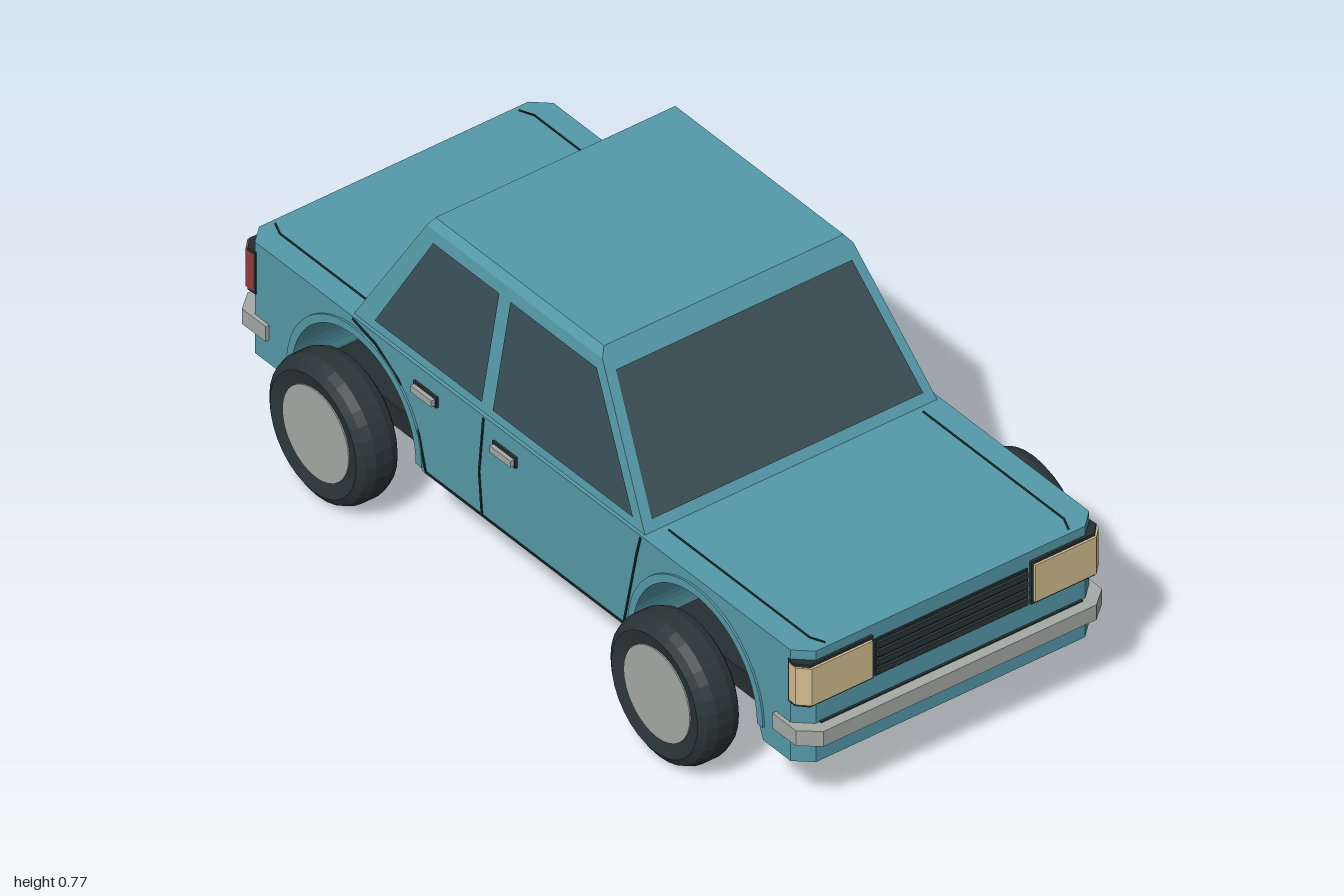
import * as THREE from 'three';

const mat = (color, side = THREE.FrontSide) =>
  new THREE.MeshStandardMaterial({ color, flatShading: true, side });
const PAINT = mat(0x5599a8), GLASS = mat(0x3a4f56, THREE.DoubleSide), DARK = mat(0x252f31),
  LINE = mat(0x1a2a2e), CHROME = mat(0xa6aaa6), LAMP = mat(0xd4be90), RED = mat(0x983a3c);
const RUBBER = mat(0x2a3537);

function add(parent, name, geometry, material) {
  const mesh = new THREE.Mesh(geometry, material);
  mesh.name = name;
  parent.add(mesh);
  return mesh;
}

// box given by its limits
function box(x0, x1, y0, y1, z0, z1) {
  return new THREE.BoxGeometry(x1 - x0, y1 - y0, z1 - z0)
    .translate((x0 + x1) / 2, (y0 + y1) / 2, (z0 + z1) / 2);
}

// plan outline of [x, z] points raised from y0 to y1
function planPrism(points, y0, y1) {
  const shape = new THREE.Shape(points.map(([x, z]) => new THREE.Vector2(x, -z)));
  return new THREE.ExtrudeGeometry(shape, { depth: y1 - y0, bevelEnabled: false })
    .rotateX(-Math.PI / 2).translate(0, y0, 0);
}

// side outline in (z, y) extruded from x0 to x1
function sidePrism(shape, x0, x1) {
  return new THREE.ExtrudeGeometry(shape, { depth: x1 - x0, bevelEnabled: false, curveSegments: 20 })
    .rotateY(-Math.PI / 2).translate(x1, 0, 0);
}

// flat four-cornered pane
function pane(corners) {
  const g = new THREE.BufferGeometry();
  g.setAttribute('position', new THREE.Float32BufferAttribute(corners.flat(), 3));
  g.setIndex([0, 1, 2, 0, 2, 3]);
  g.computeVertexNormals();
  return g;
}

// thin strip along a path of points, used for panel gaps
function seam(parent, name, points, t = 0.005) {
  for (let i = 1; i < points.length; i++) {
    const a = new THREE.Vector3(...points[i - 1]), b = new THREE.Vector3(...points[i]);
    const m = add(parent, name, new THREE.BoxGeometry(t, t, a.distanceTo(b)), LINE);
    m.position.copy(a).lerp(b, 0.5);
    m.lookAt(b);
  }
}

const AXLES = [0.605, -0.58], AXLE_Y = 0.178, ARCH_R = 0.215;
const HALF = 0.405, BELT = 0.435;

function lowerBody(car) {
  // body sides with wheel arches cut through
  const s = new THREE.Shape();
  s.moveTo(-0.93, 0.14);
  s.lineTo(-0.81, 0.14);
  s.lineTo(AXLES[1] - ARCH_R, AXLE_Y);
  s.absarc(AXLES[1], AXLE_Y, ARCH_R, Math.PI, 0, true);
  s.lineTo(-0.345, 0.165);
  s.lineTo(0.365, 0.165);
  s.lineTo(AXLES[0] - ARCH_R, AXLE_Y);
  s.absarc(AXLES[0], AXLE_Y, ARCH_R, Math.PI, 0, true);
  s.lineTo(0.835, 0.14);
  s.lineTo(0.93, 0.14);
  s.lineTo(0.93, BELT);
  s.lineTo(-0.93, BELT);
  add(car, 'body', sidePrism(s, -HALF, HALF), PAINT);
  add(car, 'underbody', box(-0.31, 0.31, 0.115, 0.17, -0.86, 0.86), DARK);

  // arch lips
  for (const z of AXLES) {
    const lip = new THREE.Shape();
    lip.absarc(z, AXLE_Y, ARCH_R + 0.02, 0, Math.PI, false);
    lip.absarc(z, AXLE_Y, ARCH_R, Math.PI, 0, true);
    add(car, 'archLip', sidePrism(lip, HALF - 0.01, HALF + 0.005), PAINT);
    add(car, 'archLip', sidePrism(lip, -HALF - 0.005, -HALF + 0.01), PAINT);
  }
}

// nose or tail: panel, bumper and a pair of wrapped lamps
function bodyEnd(name, lampMaterial) {
  const end = new THREE.Group();
  end.name = name;
  add(end, 'endPanel', planPrism(
    [[-HALF, 0.93], [HALF, 0.93], [0.365, 0.967], [-0.365, 0.967]], 0.14, BELT), PAINT);
  add(end, 'bumperBacking', box(-0.355, 0.355, 0.19, 0.246, 0.95, 0.973), DARK);
  add(end, 'bumper', planPrism([[-0.415, 0.88], [-0.39, 0.88], [-0.39, 0.94], [0.39, 0.94], [0.39, 0.88],
    [0.415, 0.88], [0.415, 0.962], [0.37, 1], [-0.37, 1], [-0.415, 0.962]], 0.203, 0.243), CHROME);
  for (const m of [1, -1]) {
    const outline = (d) => {
      const p = [[0.22 - d, 0.93 - d], [0.409 - d / 4, 0.93 - d], [0.411 - d / 4, 0.955 - d],
        [0.386, 0.98 - d], [0.22 - d, 0.98 - d]].map(([x, z]) => [m * x, z]);
      return m > 0 ? p : p.reverse();
    };
    add(end, 'lampFrame', planPrism(outline(0.006), 0.299, 0.411), DARK);
    add(end, 'lamp', planPrism(outline(0), 0.306, 0.404), lampMaterial);
    // lid edge
    seam(end, 'lidSeam', [[m * 0.345, BELT, 0.43], [m * 0.345, BELT, 0.92], [m * 0.33, BELT, 0.955]], 0.004);
  }
  return end;
}

function cabin(car) {
  // rings: height, half width, front z, back z
  const rings = [[0.43, 0.397, 0.417, -0.6], [0.75, 0.34, 0.194, -0.416], [0.77, 0.325, 0.18, -0.405]];
  const shell = new THREE.BoxGeometry(2, 2, 2, 1, 2, 1), p = shell.attributes.position;
  for (let i = 0; i < p.count; i++) {
    const [y, w, f, b] = rings[Math.round(p.getY(i)) + 1];
    p.setXYZ(i, p.getX(i) * w, y, p.getZ(i) > 0 ? f : b);
  }
  add(car, 'cabin', shell, PAINT);

  // glass follows the sloping cabin faces
  const at = (k, y) => THREE.MathUtils.mapLinear(y, 0.43, 0.75, rings[0][k], rings[1][k]);
  const lo = 0.458, hi = 0.725, d = 0.004;
  for (const [name, k, o] of [['windshield', 2, d], ['rearWindow', 3, -d]])
    add(car, name, pane([[-0.368, lo, at(k, lo) + o], [0.368, lo, at(k, lo) + o],
      [0.32, hi, at(k, hi) + o], [-0.32, hi, at(k, hi) + o]]), GLASS);
  const sideWindows = [['frontSideWindow', 0.372, -0.115, -0.115, 0.185],
    ['rearSideWindow', -0.153, -0.525, -0.383, -0.153]];
  for (const m of [1, -1])
    for (const [name, z0, z1, z2, z3] of sideWindows) {
      const xl = m * (at(1, lo) + d), xh = m * (at(1, hi) + d);
      add(car, name, pane([[xl, lo, z0], [xl, lo, z1], [xh, hi, z2], [xh, hi, z3]]), GLASS);
    }
}

function doors(car) {
  for (const m of [1, -1]) {
    const x = m * HALF;
    for (const z of [-0.058, -0.333]) {
      add(car, 'handleRecess', box(x - 0.006, x + 0.006, 0.366, 0.394, z - 0.04, z + 0.04), DARK);
      add(car, 'doorHandle', box(x - 0.016, x + 0.016, 0.371, 0.388, z - 0.036, z + 0.036), CHROME);
    }
    seam(car, 'doorSeam', [[x, 0.43, 0.41], [x, 0.38, 0.397], [x, 0.17, 0.352],
      [x, 0.17, -0.335], [x, 0.26, -0.36], [x, 0.36, -0.43], [x, 0.41, -0.51], [x, 0.43, -0.59]]);
    seam(car, 'doorSplit', [[x, 0.43, -0.135], [x, 0.28, -0.15], [x, 0.17, -0.14]]);
  }
}

function wheel(x, z) {
  const g = new THREE.Group();
  g.name = 'wheel';
  // tyre ring with chamfered shoulders
  const profile = [[0.112, -0.045], [0.15, -0.055], [0.168, -0.043], [0.177, -0.022],
    [0.177, 0.022], [0.168, 0.043], [0.15, 0.055], [0.112, 0.045], [0.112, -0.045]]
    .map(([r, h]) => new THREE.Vector2(r, h));
  add(g, 'tyre', new THREE.LatheGeometry(profile, 32).rotateZ(Math.PI / 2), RUBBER);
  add(g, 'hub', new THREE.CylinderGeometry(0.115, 0.115, 0.098, 32).rotateZ(Math.PI / 2), CHROME);
  g.position.set(x, AXLE_Y, z);
  return g;
}

export function createModel() {
  const car = new THREE.Group();
  car.name = 'car';
  lowerBody(car);
  cabin(car);
  doors(car);

  const nose = bodyEnd('nose', LAMP);
  add(nose, 'grille', box(-0.207, 0.207, 0.299, 0.396, 0.95, 0.971), DARK);
  for (let i = 0; i < 4; i++) {
    const y = 0.306 + i * 0.023;
    add(nose, 'grilleSlat', box(-0.203, 0.203, y, y + 0.015, 0.96, 0.978), RUBBER);
  }
  const tail = bodyEnd('tail', RED);
  tail.rotation.y = Math.PI;
  car.add(nose, tail);

  for (const z of AXLES) for (const m of [1, -1]) car.add(wheel(m * 0.465, z));
  return car;
}
